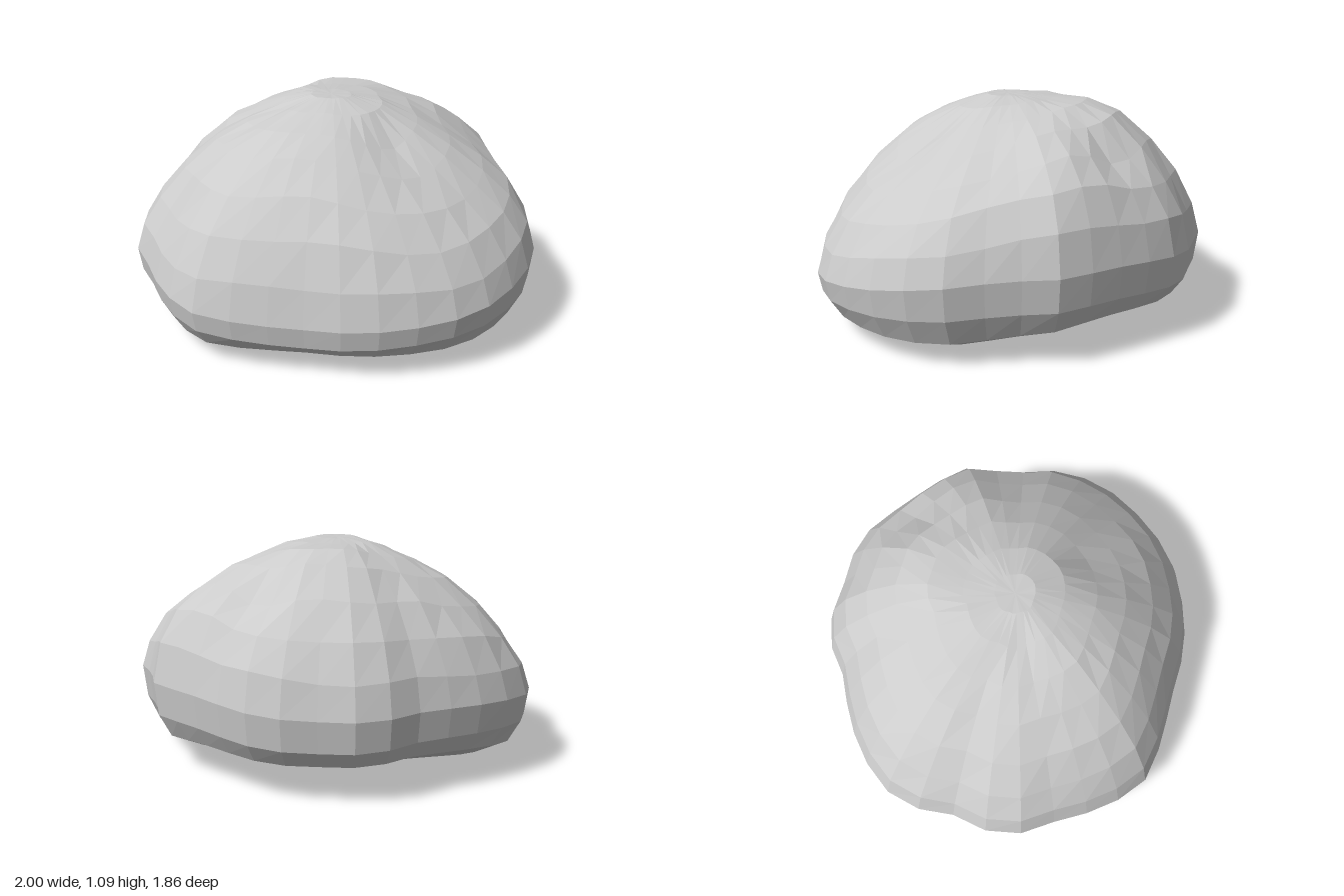
import * as THREE from 'three';

// Plan outline: radius every 15 degrees, from +x turning toward +z
const OUTLINE = [0.99, 1.03, 1.04, 1.04, 1.0, 0.965, 0.93, 0.96, 1.03, 1.01, 0.99, 1.03,
  0.97, 1.02, 0.98, 0.92, 0.88, 0.94, 0.92, 0.94, 0.91, 0.9, 0.94, 0.91];

// Rings from the crown down, over the widest line and in to the open rim
const SPREAD = [0.1, 0.25, 0.42, 0.58, 0.74, 0.87, 0.96, 1, 0.98, 0.92, 0.76];

// Height of each ring, in profiles every 45 degrees from +x turning toward +z
const HEIGHTS = [
  [1.1, 1.07, 1.0, 0.91, 0.8, 0.7, 0.56, 0.42, 0.26, 0.13, 0.06],
  [1.1, 1.05, 0.94, 0.82, 0.7, 0.57, 0.43, 0.3, 0.2, 0.11, 0.05],
  [1.1, 1.06, 1.0, 0.92, 0.79, 0.63, 0.44, 0.26, 0.16, 0.11, 0.09],
  [1.1, 1.06, 0.99, 0.89, 0.76, 0.6, 0.44, 0.3, 0.2, 0.1, 0.02],
  [1.1, 1.06, 0.98, 0.9, 0.77, 0.62, 0.49, 0.37, 0.24, 0.12, 0.03],
  [1.1, 1.09, 1.04, 0.97, 0.86, 0.72, 0.56, 0.42, 0.28, 0.19, 0.12],
  [1.1, 1.09, 1.09, 1.04, 0.9, 0.74, 0.58, 0.42, 0.27, 0.19, 0.14],
  [1.1, 1.09, 1.06, 1.02, 0.94, 0.83, 0.66, 0.46, 0.3, 0.2, 0.13],
];

// Dents in the crown and back shoulder: x, z, depth, squared width
const DENTS = [[-0.3, 0.17, 0.03, 0.01], [0.34, 0.32, 0.03, 0.01],
  [-0.56, -0.42, 0.02, 0.01], [0.32, -0.6, 0.08, 0.03]];
const SEGMENTS = 36;

// Smooth lookup in a closed list, t running from 0 to 1
function around(list, t) {
  const n = list.length, s = t * n, i = Math.floor(s), k = s - i;
  const [a, b, c, d] = [-1, 0, 1, 2].map((o) => list[(i + o + n) % n]);
  return b + 0.5 * k * (c - a + k * (2 * a - 5 * b + 4 * c - d + k * (3 * (b - c) + d - a)));
}

function shellPoint(ring, seg) {
  const t = (seg % SEGMENTS) / SEGMENTS, angle = t * Math.PI * 2;
  const f = SPREAD[ring], r = around(OUTLINE, t) * f;
  const x = r * Math.cos(angle) - 0.02 * (1 - f);
  const z = r * Math.sin(angle) + 0.05 * (1 - f);
  let y = around(HEIGHTS.map((h) => h[ring]), t);
  if (ring < 7) {
    // Slight unevenness between facets, then the dents
    y += 0.008 * f * Math.sin((seg % SEGMENTS) * 1.4 + ring * 1.9);
    for (const [dx, dz, depth, width] of DENTS) {
      y -= depth * Math.exp(-((x - dx) ** 2 + (z - dz) ** 2) / width);
    }
  }
  return [x, Math.max(y, 0), z];
}

export function createModel() {
  const group = new THREE.Group();
  group.name = 'lumpyDome';
  const positions = [-0.02, 1.1, 0.05], index = [];
  for (let ring = 0; ring < SPREAD.length; ring++) {
    for (let seg = 0; seg < SEGMENTS; seg++) positions.push(...shellPoint(ring, seg));
  }
  const id = (ring, seg) => 1 + ring * SEGMENTS + (seg % SEGMENTS);
  for (let seg = 0; seg < SEGMENTS; seg++) {
    index.push(0, id(0, seg + 1), id(0, seg));
    for (let ring = 0; ring < SPREAD.length - 1; ring++) {
      const a = id(ring, seg), b = id(ring, seg + 1);
      const c = id(ring + 1, seg + 1), d = id(ring + 1, seg);
      index.push(a, b, c, a, c, d);
    }
  }
  const geometry = new THREE.BufferGeometry();
  geometry.setAttribute('position', new THREE.Float32BufferAttribute(positions, 3));
  geometry.setIndex(index);
  geometry.computeVertexNormals();

  // Hollow shell, open underneath
  const shell = new THREE.Mesh(geometry, new THREE.MeshStandardMaterial({
    color: 0xcccccc, flatShading: true, side: THREE.DoubleSide,
  }));
  shell.name = 'domeShell';
  group.add(shell);
  return group;
}
